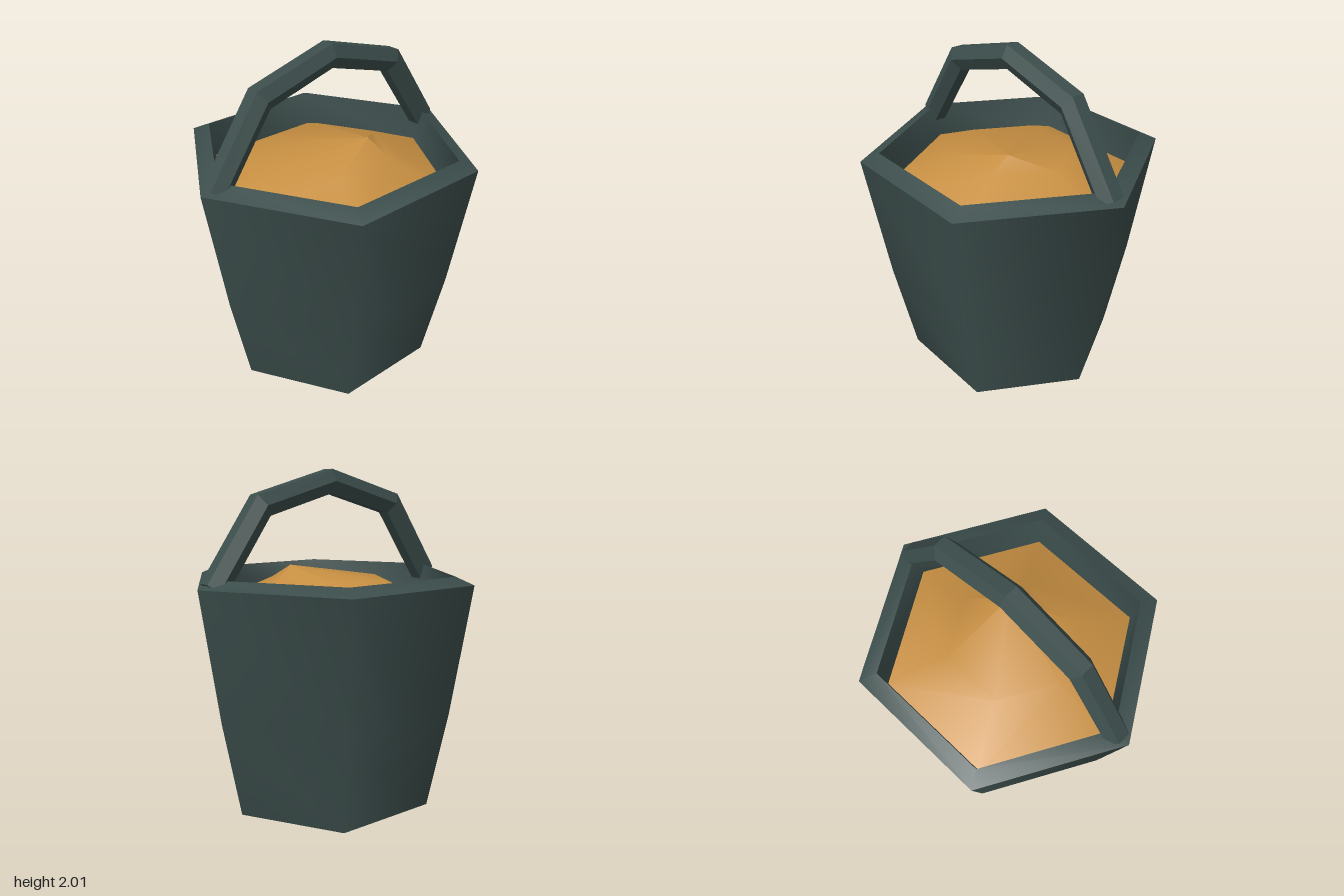
import * as THREE from 'three';
import { toCreasedNormals } from 'three/addons/utils/BufferGeometryUtils.js';

const slate = new THREE.MeshStandardMaterial({ color: 0x3b4d4b });
slate.name = 'dark slate';
const amber = new THREE.MeshStandardMaterial({ color: 0xc78f42 });
amber.name = 'amber';

// Joins equal-length rings of points with quads.
function loft(rings, closeEnds) {
  const n = rings[0].length;
  const index = [];
  for (let r = 0; r < rings.length - 1; r++) {
    for (let i = 0; i < n; i++) {
      const a = r * n + i, b = r * n + (i + 1) % n;
      index.push(a, b, b + n, a, b + n, a + n);
    }
  }
  if (closeEnds) {
    const last = (rings.length - 1) * n;
    for (let i = 1; i < n - 1; i++) {
      index.push(0, i + 1, i, last, last + i, last + i + 1);
    }
  }
  const geometry = new THREE.BufferGeometry().setFromPoints(rings.flat());
  geometry.setIndex(index);
  geometry.computeVertexNormals();
  return geometry;
}

// Six-sided bucket wall with a sloped rim and a short inner wall.
function makeBucket() {
  const profile = [
    [0, 0], [0.645, 0], [0.765, 0.58], [0.89, 1.355], [0.78, 1.4], [0.74, 1.15],
  ].map(([r, y]) => new THREE.Vector2(r, y));
  const mesh = new THREE.Mesh(toCreasedNormals(new THREE.LatheGeometry(profile, 6), 1.13), slate);
  mesh.name = 'bucket';
  return mesh;
}

// Mounded filling with its peak off centre.
function makeFilling() {
  const ring = (r, y, cx = 0, cz = 0) => Array.from({ length: 6 }, (_, i) => {
    const a = i * Math.PI / 3;
    return new THREE.Vector3(cx + r * Math.sin(a), y, cz + r * Math.cos(a));
  });
  const rings = [ring(0.75, 1.19), ring(0.375, 1.355), ring(0.002, 1.435, 0.17, -0.16)];
  const mesh = new THREE.Mesh(loft(rings, false), amber);
  mesh.name = 'filling';
  return mesh;
}

// Hexagonal bar bent over the bucket from front to back, mitred at each bend.
function makeHandle() {
  const path = [[0.795, 1.345], [0.48, 1.8], [0, 1.935], [-0.48, 1.8], [-0.795, 1.345]]
    .map(([z, y]) => new THREE.Vector2(z, y));
  const dirs = path.slice(1).map((p, i) => p.clone().sub(path[i]).normalize());
  const rings = path.map((p, k) => {
    const before = dirs[Math.max(k - 1, 0)], after = dirs[Math.min(k, dirs.length - 1)];
    const tangent = before.clone().add(after).normalize();
    const outward = new THREE.Vector2(tangent.y, -tangent.x);
    const miter = 1 / tangent.dot(after);
    return Array.from({ length: 6 }, (_, i) => {
      const a = i * Math.PI / 3;
      const d = 0.078 * Math.sin(a) * miter;
      return new THREE.Vector3(0.078 * Math.cos(a), p.y + outward.y * d, p.x + outward.x * d);
    });
  });
  // The outward side must point away from the bucket's middle.
  if (rings[2][1].y < path[2].y) rings.forEach((r) => r.reverse());
  const geometry = loft(rings, true).toNonIndexed();
  // Make sure the faces look outwards.
  const p = geometry.attributes.position;
  let volume = 0;
  const [a, b, c] = [0, 1, 2].map(() => new THREE.Vector3());
  for (let i = 0; i < p.count; i += 3) {
    a.fromBufferAttribute(p, i);
    b.fromBufferAttribute(p, i + 1);
    c.fromBufferAttribute(p, i + 2);
    volume += a.dot(b.cross(c));
  }
  if (volume < 0) {
    for (let i = 0; i < p.count; i += 3) {
      b.fromBufferAttribute(p, i + 1);
      c.fromBufferAttribute(p, i + 2);
      p.setXYZ(i + 1, c.x, c.y, c.z);
      p.setXYZ(i + 2, b.x, b.y, b.z);
    }
  }
  geometry.computeVertexNormals();
  const mesh = new THREE.Mesh(geometry, slate);
  mesh.name = 'handle';
  return mesh;
}

export function createModel() {
  const group = new THREE.Group();
  group.name = 'filledBucket';
  group.add(makeBucket(), makeFilling(), makeHandle());
  return group;
}
